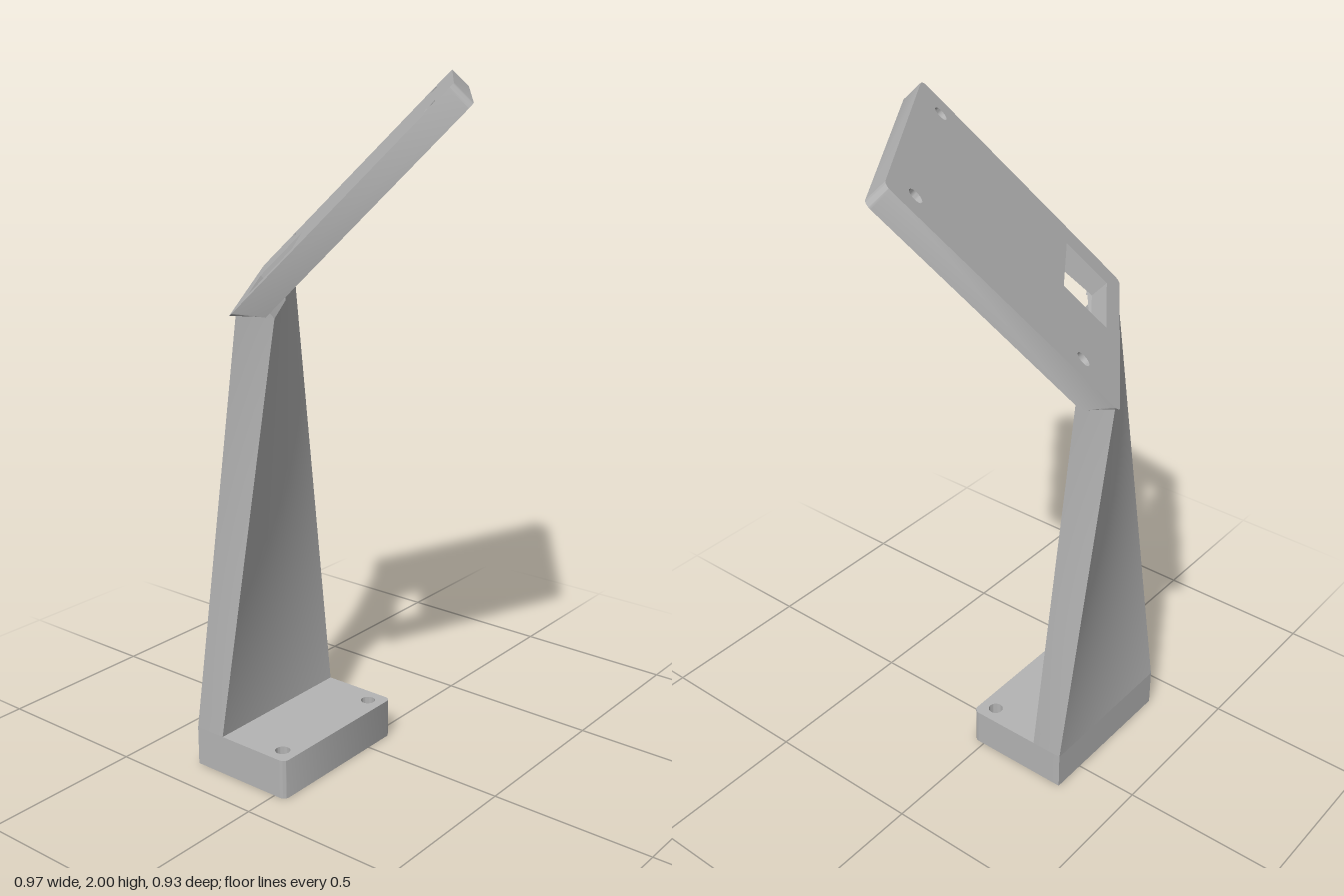
import * as THREE from 'three';
import { mergeGeometries, toCreasedNormals } from 'three/addons/utils/BufferGeometryUtils.js';

const TURN = THREE.MathUtils.degToRad(35), TILT = THREE.MathUtils.degToRad(46);
const CT = Math.cos(TURN), ST = Math.sin(TURN);

// Point from turned plan coordinates: u along the plate width, d towards its high edge
const turned = (u, y, d) => new THREE.Vector3(u * CT + d * ST, y, -u * ST + d * CT);

function circleHole(x, y, r) {
  const p = new THREE.Path();
  p.absarc(x, y, r, 0, Math.PI * 2, true);
  return p;
}

// Base foot: block with two rounded front corners and two screw holes
function baseGeometry() {
  const l = -0.39, r = 0.11, back = 0.3, front = -0.04, c = 0.02;
  const s = new THREE.Shape();
  s.moveTo(r, back);
  s.lineTo(l, back);
  s.lineTo(l, front + c);
  s.absarc(l + c, front + c, c, Math.PI, Math.PI * 1.5);
  s.lineTo(r - c, front);
  s.absarc(r - c, front + c, c, Math.PI * 1.5, Math.PI * 2);
  s.closePath();
  s.holes.push(circleHole(-0.34, 0.01, 0.022), circleHole(0.06, 0.01, 0.022));
  const g = new THREE.ExtrudeGeometry(s, { depth: 0.12, bevelEnabled: false, curveSegments: 16 });
  g.rotateX(-Math.PI / 2);
  return toCreasedNormals(g, 0.6);
}

// Grid surface from f(a, b), facing along df/da x df/db
function patch(f, na, nb) {
  const pos = [], idx = [];
  for (let j = 0; j <= nb; j++)
    for (let i = 0; i <= na; i++) pos.push(...f(i / na, j / nb).toArray());
  for (let j = 0; j < nb; j++)
    for (let i = 0; i < na; i++) {
      const k = j * (na + 1) + i, m = k + na + 1;
      idx.push(k, k + 1, m + 1, k, m + 1, m);
    }
  const g = new THREE.BufferGeometry();
  g.setAttribute('position', new THREE.Float32BufferAttribute(pos, 3));
  g.setIndex(idx);
  g.computeVertexNormals();
  return g;
}

// Twisted post: ruled from the foot's rear strip to the turned strip under the plate
function postGeometry() {
  // s across, q front to back, t bottom to top
  const P = (s, q, t) => new THREE.Vector3(-0.39 + 0.5 * s, 0.12, -0.2 - 0.1 * q)
    .lerp(turned(-0.25 + 0.5 * s, 1.414, -0.205 - 0.105 * q), t);
  const tc = 0.976, qc = 0.28; // notch left by the slot
  const up = b => tc + (1 - tc) * b;
  return mergeGeometries([
    patch((a, b) => P(a / 2, 0, b * tc), 8, 24),                          // front, notched half
    patch((a, b) => P(0.5 + a / 2, 0, b), 8, 24),                         // front, full half
    patch((a, b) => P(1 - a, 1, b), 16, 24),                              // back
    patch((a, b) => P(1, a, b), 4, 24),                                   // left side
    patch((a, b) => P(0, 1 - a, b * tc), 4, 24),                          // right side
    patch((a, b) => P(0, 1 - a * (1 - qc * b), up(b)), 4, 1),             // right side above notch
    patch((a, b) => P(a / 2, qc * b, up(b)), 4, 1),                       // notch floor
    patch((a, b) => P(0.5, qc * b * (1 - a), up(b)), 1, 1),               // notch end
    patch((a, b) => P(a / 2, qc + (1 - qc) * b, 1), 4, 1).rotateY(0),     // top, notched half
    patch((a, b) => P(0.5 + a / 2, b, 1), 4, 1),                          // top, full half
  ]);
}

// Tilted plate: rounded rectangle with slot and holes, low edge trimmed level
function plateGeometry() {
  const w = 0.384, len = 0.815, t = 0.069, c = 0.022, slot = 0.281, H = Math.PI / 2;
  const s = new THREE.Shape();
  s.moveTo(w, -len + c);
  s.lineTo(w, -c);
  s.absarc(w - c, -c, c, 0, H);
  s.lineTo(-w + c, 0);
  s.absarc(-w + c, -c, c, H, 2 * H);
  s.lineTo(-w, -len + c);
  s.absarc(-w + c, -len + c, c, 2 * H, 3 * H);
  for (const x of [-0.001, 0, slot, slot + 0.001]) s.lineTo(x, -len);
  s.lineTo(w - c, -len);
  s.absarc(w - c, -len + c, c, 3 * H, 4 * H);
  const window = new THREE.Path();
  window.moveTo(0, -0.76);
  window.lineTo(0, -0.591);
  window.lineTo(slot, -0.591);
  window.lineTo(slot, -0.76);
  window.closePath();
  s.holes.push(window, circleHole(-0.295, -0.087, 0.022),
    circleHole(0.295, -0.087, 0.022), circleHole(-0.295, -0.677, 0.022));
  const g = new THREE.ExtrudeGeometry(s, { depth: t, bevelEnabled: false, curveSegments: 12 });
  g.translate(0, 0, -t);

  // Slide the underside's low vertices onto the level trim plane
  const p = g.attributes.position;
  for (let i = 0; i < p.count; i++) {
    if (p.getZ(i) > -t / 2 || p.getY(i) > -0.74) continue;
    const x = p.getX(i), inSlot = x > -0.0005 && x < slot + 0.0005;
    p.setY(i, inSlot ? -0.76 : -0.748);
    p.setZ(i, inSlot ? -0.0576 : -t);
  }

  const ct = Math.cos(TILT), st = Math.sin(TILT);
  const m = new THREE.Matrix4().makeBasis(
    turned(-1, 0, 0), turned(0, st, ct), turned(0, ct, -st));
  m.setPosition(turned(0, 2, 0.253));
  g.applyMatrix4(m);
  return toCreasedNormals(g, 0.6);
}

export function createModel() {
  const grey = new THREE.MeshStandardMaterial({ color: 0xb4b4b4 });
  grey.name = 'light grey';
  const model = new THREE.Group();
  model.name = 'tiltedStand';
  const parts = { base: baseGeometry(), twistedPost: postGeometry(), mountingPlate: plateGeometry() };
  for (const [name, geometry] of Object.entries(parts)) {
    const mesh = new THREE.Mesh(geometry, grey);
    mesh.name = name;
    model.add(mesh);
  }
  return model;
}
